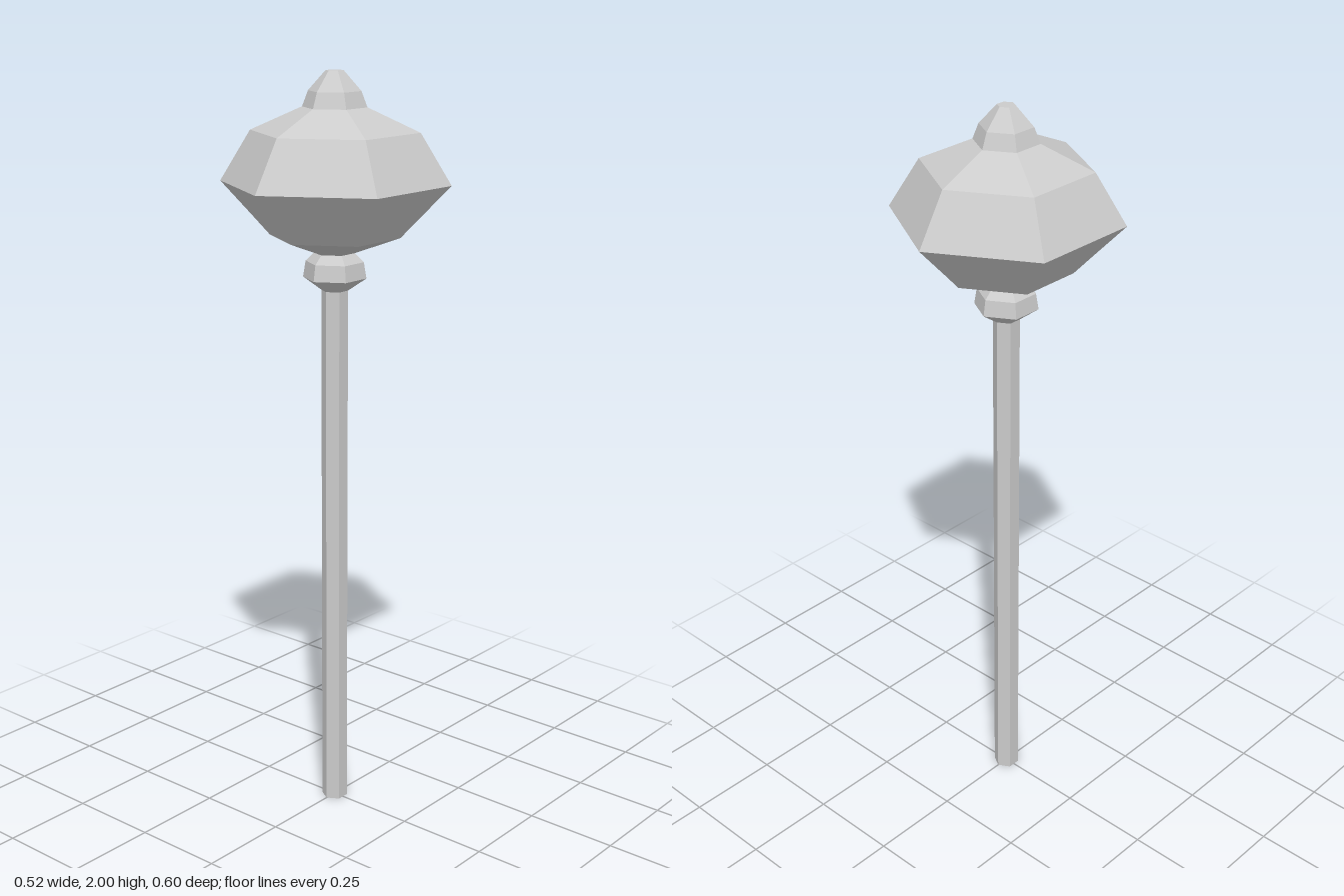
import * as THREE from 'three';

const material = new THREE.MeshStandardMaterial({ color: 0xcccccc, flatShading: true });

// Six-sided turned part from [radius, height] pairs, bottom to top, corners on +z and -z
function turned(name, profile) {
  const points = profile.map(([r, y]) => new THREE.Vector2(r, y));
  const mesh = new THREE.Mesh(new THREE.LatheGeometry(points, 6), material);
  mesh.name = name;
  return mesh;
}

export function createModel() {
  const group = new THREE.Group();
  group.name = 'mace';
  group.add(
    // Long handle, closed at the foot
    turned('shaft', [[0, 0], [0.035, 0], [0.035, 1.46]]),
    // Flared ring under the head
    turned('collar', [[0.035, 1.445], [0.083, 1.478], [0.076, 1.52], [0.05, 1.545]]),
    // Faceted bulb
    turned('head', [
      [0, 1.54], [0.045, 1.54], [0.17, 1.585], [0.217, 1.635],
      [0.298, 1.72], [0.218, 1.85], [0.084, 1.91], [0, 1.91],
    ]),
    // Pointed cap with a small flat top
    turned('finial', [[0.084, 1.908], [0.068, 1.95], [0.023, 2], [0, 2]]),
  );
  return group;
}
